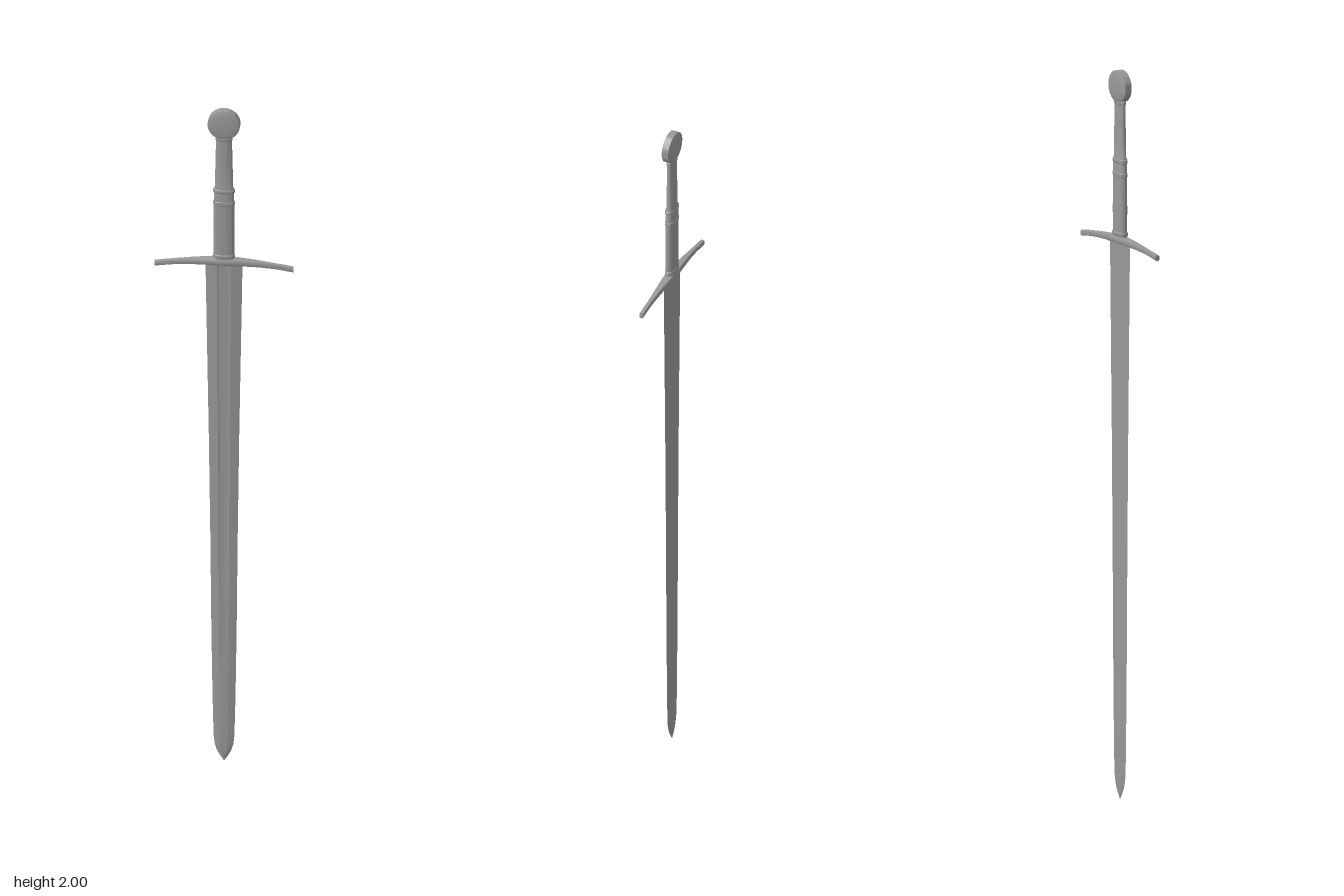
import * as THREE from 'three';
import { toCreasedNormals } from 'three/addons/utils/BufferGeometryUtils.js';

const steel = new THREE.MeshStandardMaterial({ color: 0x999999 });

// Skins a list of equal-length closed rings (stacked along +y) and caps both ends.
function loft(rings, crease) {
  const n = rings[0].length;
  const points = rings.flat();
  const index = [];
  for (let j = 0; j < rings.length - 1; j++) {
    for (let i = 0; i < n; i++) {
      const a = j * n + i, b = j * n + (i + 1) % n;
      index.push(a, a + n, b, b, a + n, b + n);
    }
  }
  const top = (rings.length - 1) * n;
  for (let i = 1; i < n - 1; i++) {
    index.push(0, i, i + 1, top, top + i + 1, top + i);
  }
  const geometry = new THREE.BufferGeometry().setFromPoints(points);
  geometry.setIndex(index);
  return toCreasedNormals(geometry, crease);
}

// Superellipse ring: power 1 is an ellipse, smaller powers are boxier.
function ovalRing(y, rx, rz, sides = 24, power = 1) {
  return Array.from({ length: sides }, (_, i) => {
    const a = ((i + 0.5) / sides) * Math.PI * 2;
    const c = Math.cos(a), s = Math.sin(a);
    return new THREE.Vector3(
      rx * Math.sign(c) * Math.abs(c) ** power, y,
      rz * Math.sign(s) * Math.abs(s) ** power);
  });
}

// Blade ring: thin edges, a rounded body and a shallow central fuller.
function bladeRing(y, w, t, fuller) {
  const half = [[1, 0], [0.8, 0.4], [0.38, 1], [0.3, 1 - fuller * 0.3], [0, 1 - fuller * 0.5],
    [-0.3, 1 - fuller * 0.3], [-0.38, 1], [-0.8, 0.4]];
  return [...half, ...half.map(([x, z]) => [-x, -z])]
    .map(([x, z]) => new THREE.Vector3(x * w, y, z * t));
}

export function createModel() {
  const sword = new THREE.Group();
  sword.name = 'sword';
  const add = (name, geometry) => {
    const mesh = new THREE.Mesh(geometry, steel);
    mesh.name = name;
    sword.add(mesh);
    return mesh;
  };

  // Blade, from the rounded point up to the guard: y, half width, half thickness, fuller depth
  const bladeSections = [
    [0, 0.001, 0.0005, 0], [0.012, 0.009, 0.0025, 0], [0.03, 0.019, 0.004, 0],
    [0.05, 0.025, 0.0046, 0], [0.075, 0.028, 0.0048, 0], [0.2, 0.031, 0.0049, 0],
    [0.4, 0.034, 0.005, 0.4], [0.7, 0.037, 0.005, 1], [1.0, 0.041, 0.005, 1],
    [1.3, 0.046, 0.0052, 1], [1.535, 0.05, 0.0053, 1],
  ];
  add('blade', loft(bladeSections.map((s) => bladeRing(...s)), 0.2));

  // Crossguard: swells at the middle, tapers and curves down to the ends
  const guardRings = [];
  const steps = 32;
  for (let k = 0; k <= steps; k++) {
    const x = -0.187 + (0.374 * k) / steps;
    const u = Math.abs(x) / 0.187;
    const swell = Math.max(0, 1 - u / 0.75) ** 1.3;
    const y = 1.535 - 0.016 * u ** 2;
    const ring = ovalRing(x, 0.0078 + 0.0035 * swell, 0.006 + 0.009 * swell, 12, 0.5);
    guardRings.push(ring.map((p) => new THREE.Vector3(p.y, y - p.x, p.z)));
  }
  add('crossguard', loft(guardRings, 0.6));

  // Grip: full lower half, slimmer tapering upper half
  const gripSections = [
    [1.535, 0.0275, 0.0125], [1.62, 0.0285, 0.0125], [1.715, 0.0275, 0.0122],
    [1.757, 0.027, 0.012], [1.764, 0.0248, 0.0105], [1.85, 0.0228, 0.0095], [1.93, 0.021, 0.009],
  ];
  add('grip', loft(gripSections.map((s) => ovalRing(...s, 24, 0.85)), 0.6));

  // Raised bands around the grip, and a collar under the pommel
  const bands = [
    ['lowerBand', 1.553, 0.03, 0.0138], ['middleBand', 1.715, 0.0293, 0.0135],
    ['upperBand', 1.752, 0.0293, 0.0135], ['pommelCollar', 1.912, 0.0235, 0.0105],
  ];
  for (const [name, y, rx, rz] of bands) {
    const rings = [[-0.0055, 0.93], [-0.004, 1], [0.004, 1], [0.0055, 0.93]]
      .map(([dy, k]) => ovalRing(y + dy, rx * k, rz * k, 24, 0.85));
    add(name, loft(rings, 0.6));
  }

  // Wheel pommel: a flat-rimmed disc with bevelled faces front and back
  const profile = [[0, -0.0135], [0.028, -0.013], [0.038, -0.0115], [0.0435, -0.0095],
    [0.0435, 0.0095], [0.038, 0.0115], [0.028, 0.013], [0, 0.0135]]
    .map(([r, h]) => new THREE.Vector2(r, h));
  const pommel = add('pommel', toCreasedNormals(new THREE.LatheGeometry(profile, 36), 0.4));
  pommel.rotation.x = Math.PI / 2;
  pommel.position.y = 1.9565;

  return sword;
}
